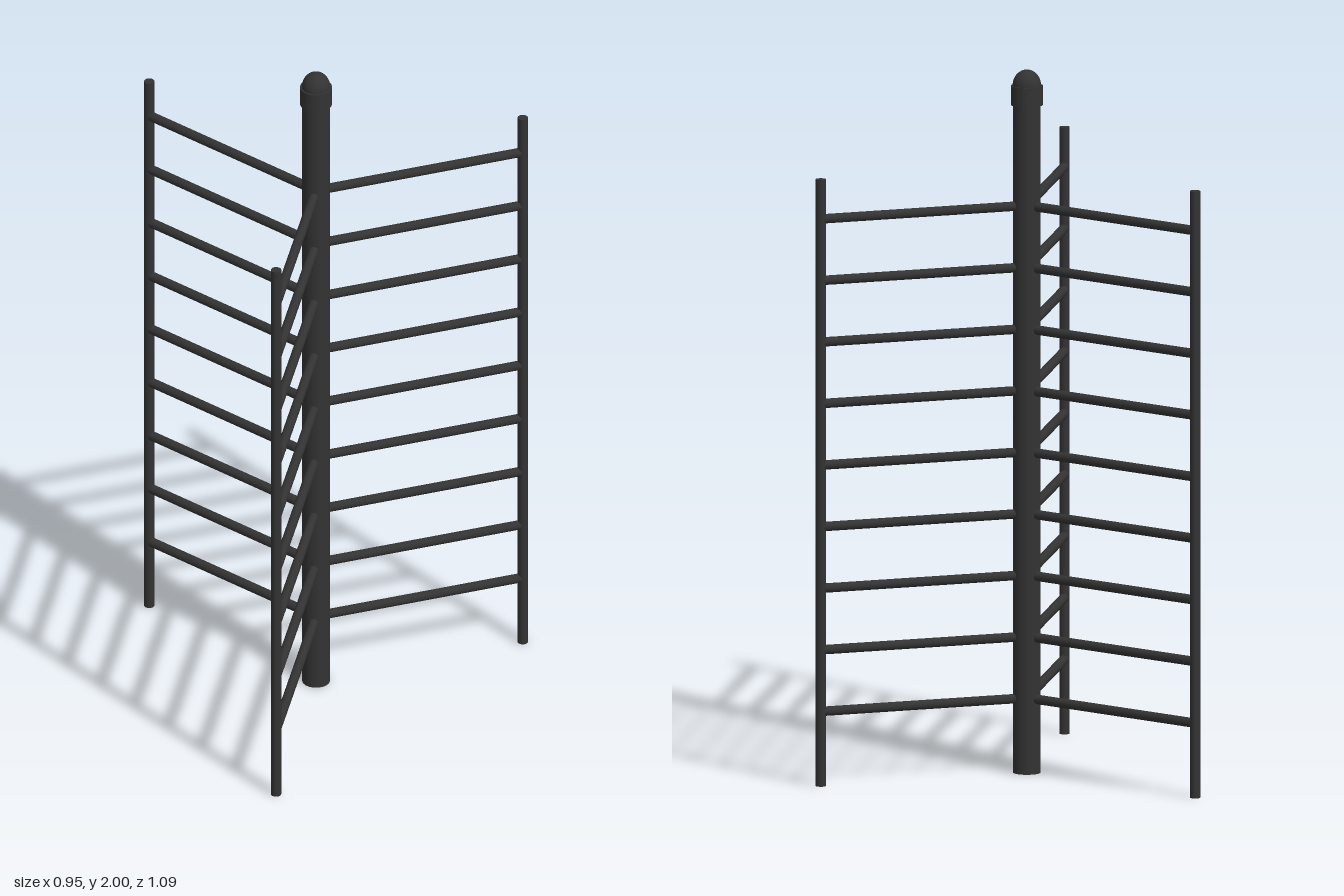
import * as THREE from 'three';

const POST_X = 0.153, ARM = 0.614, RUNGS = 9;

export function createModel() {
  const model = new THREE.Group();
  model.name = 'threeWayClimbingLadder';
  const mat = new THREE.MeshStandardMaterial({ color: 0x333333 });

  const add = (parent, name, geometry, x, y) => {
    const mesh = new THREE.Mesh(geometry, mat);
    mesh.name = name;
    mesh.position.set(x, y, 0);
    parent.add(mesh);
    return mesh;
  };

  // central post
  add(model, 'centrePost', new THREE.CylinderGeometry(0.039, 0.039, 1.93, 32), POST_X, 0.965);

  // collar and domed cap on top of the post
  add(model, 'capCollar', new THREE.CylinderGeometry(0.045, 0.045, 0.055, 32), POST_X, 1.9275);
  const dome = new THREE.SphereGeometry(0.04, 32, 12, 0, Math.PI * 2, 0, Math.PI / 2);
  add(model, 'capDome', dome, POST_X, 1.955).scale.y = 0.045 / 0.04;

  // three ladder wings, 120 degrees apart
  const uprightGeo = new THREE.CylinderGeometry(0.0145, 0.0145, 1.727, 20);
  const rungGeo = new THREE.CylinderGeometry(0.0135, 0.0135, ARM - 0.02, 16);
  rungGeo.rotateZ(Math.PI / 2);
  for (let w = 0; w < 3; w++) {
    const wing = new THREE.Group();
    wing.name = 'ladderWing' + (w + 1);
    wing.position.x = POST_X;
    wing.rotation.y = Math.PI / 3 + (w * Math.PI * 2) / 3;
    add(wing, 'upright', uprightGeo, ARM, 1.727 / 2);
    for (let i = 0; i < RUNGS; i++) {
      add(wing, 'rung' + (i + 1), rungGeo, ARM / 2 + 0.01, 0.212 + i * 0.1752);
    }
    model.add(wing);
  }
  return model;
}
